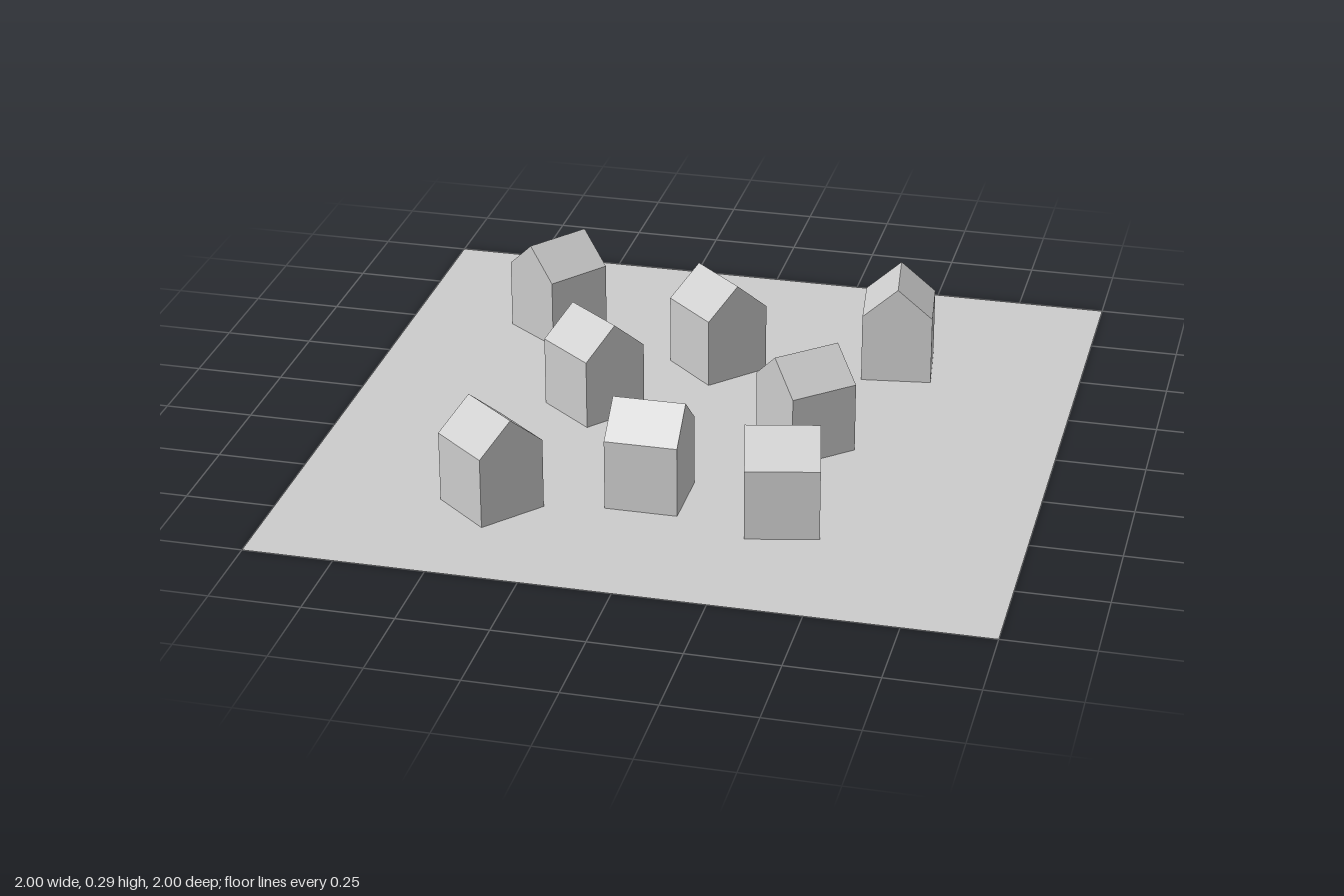
import * as THREE from 'three';

const SIZE = 0.2;    // footprint and wall height of every house
const RIDGE = 0.287; // height of the roof ridge

// Centre x, centre z, and ridge direction in degrees (clockwise seen from above)
const PLACES = [
  [-0.56, -0.525, 127],
  [-0.04, -0.375, 43],
  [0.47, -0.485, 82.5],
  [-0.32, -0.035, 39],
  [0.31, 0.06, -42],
  [-0.437, 0.597, 40],
  [-0.035, 0.457, 0],
  [0.342, 0.52, -12.4],
];

// Gable outline extruded along the ridge, which runs along x
function houseGeometry() {
  const h = SIZE / 2;
  const gable = new THREE.Shape([
    new THREE.Vector2(-h, 0),
    new THREE.Vector2(h, 0),
    new THREE.Vector2(h, SIZE),
    new THREE.Vector2(0, RIDGE),
    new THREE.Vector2(-h, SIZE),
  ]);
  return new THREE.ExtrudeGeometry(gable, { depth: SIZE, bevelEnabled: false })
    .translate(0, 0, -h)
    .rotateY(Math.PI / 2);
}

export function createModel() {
  const model = new THREE.Group();
  model.name = 'village';

  // Thin square of land, seen from above and below
  const ground = new THREE.Mesh(
    new THREE.PlaneGeometry(2, 2).rotateX(-Math.PI / 2),
    new THREE.MeshStandardMaterial({ color: 0xcccccc, side: THREE.DoubleSide }),
  );
  ground.name = 'ground';
  model.add(ground);

  // Scattered gabled houses
  const geometry = houseGeometry();
  const material = new THREE.MeshStandardMaterial({ color: 0xcccccc, flatShading: true });
  PLACES.forEach(([x, z, angle], i) => {
    const house = new THREE.Mesh(geometry, material);
    house.name = `house${i + 1}`;
    house.position.set(x, 0, z);
    house.rotation.y = -THREE.MathUtils.degToRad(angle);
    model.add(house);
  });

  return model;
}
